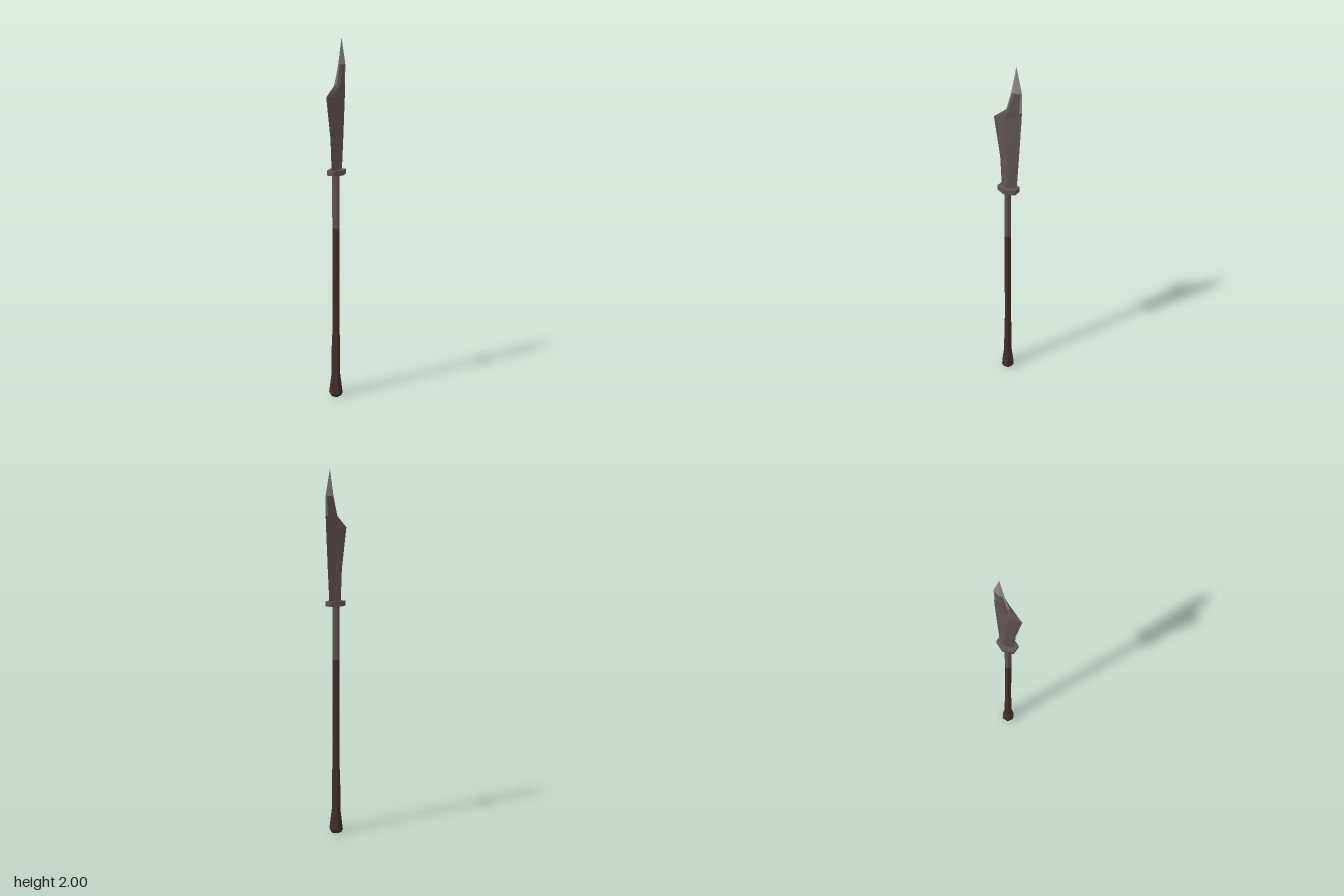
import * as THREE from 'three';

const flat = (name, color) => {
  const m = new THREE.MeshStandardMaterial({ color, flatShading: true });
  m.name = name;
  return m;
};

// Six-sided turned part from [radius, y] pairs, listed bottom to top
function hexTurned(name, profile, material) {
  const geo = new THREE.LatheGeometry(profile.map(([r, y]) => new THREE.Vector2(r, y)), 6);
  const mesh = new THREE.Mesh(geo, material);
  mesh.name = name;
  return mesh;
}

// Diamond-section blade; each row is [y, cutting edge z, ridge z, spine z, half thickness]
function bladeGeometry(rows, isBright) {
  const rings = rows.map(([y, f, r, b, h]) => {
    const side = [[0, f], [0.35 * h, f + (r - f) * 0.35], [h, r], [0.2 * h, b + (r - b) * 0.2], [0, b]];
    const mirrored = side.slice(1, 4).reverse().map(([x, z]) => [-x, z]);
    return [...side, ...mirrored].map(([x, z]) => [x, y, z]);
  });
  const groups = [[], []];
  for (let i = 0; i < rings.length - 1; i++) {
    for (let j = 0; j < 8; j++) {
      const k = (j + 1) % 8;
      const a = rings[i][j], b = rings[i][k], c = rings[i + 1][k], d = rings[i + 1][j];
      const out = groups[isBright(i, j < 4 ? j : 7 - j) ? 1 : 0];
      out.push(...a, ...b, ...c);
      if (i < rings.length - 2) out.push(...a, ...c, ...d);
    }
  }
  const geo = new THREE.BufferGeometry();
  geo.setAttribute('position', new THREE.Float32BufferAttribute(groups.flat(), 3));
  geo.addGroup(0, groups[0].length / 3, 0);
  geo.addGroup(groups[0].length / 3, groups[1].length / 3, 1);
  geo.computeVertexNormals();
  return geo;
}

export function createModel() {
  const group = new THREE.Group();
  const wood = flat('dark wood', 0x432f27);
  const iron = flat('dark iron', 0x5f5453);
  const steel = flat('bright steel', 0x8c8a89);

  // Handle: flared butt, thicker grip, long pole and iron sleeve
  group.add(
    hexTurned('butt', [[0, 0], [0.03, 0], [0.039, 0.02], [0.036, 0.04], [0.025, 0.13]], wood),
    hexTurned('grip', [[0.025, 0.13], [0.023, 0.36], [0.02, 0.365]], wood),
    hexTurned('pole', [[0.02, 0.36], [0.02, 0.98]], wood),
    hexTurned('sleeve', [[0.02, 0.98], [0.02, 1.28]], iron),
  );

  // Guard: elongated hexagonal plate
  const outline = [[0.045, 0.004], [0.022, 0.059], [-0.022, 0.059], [-0.045, 0.004], [-0.022, -0.05], [0.022, -0.05]];
  const guardShape = new THREE.Shape(outline.map(([x, y]) => new THREE.Vector2(x, y)));
  const guardGeo = new THREE.ExtrudeGeometry(guardShape, { depth: 0.027, bevelEnabled: false });
  guardGeo.rotateX(-Math.PI / 2);
  const guard = new THREE.Mesh(guardGeo, iron);
  guard.name = 'guard';
  guard.position.y = 1.275;
  group.add(guard);

  // Blade: bright tip and worn strips along both edges below it
  const rows = [
    [1.29, 0.037, -0.006, -0.053, 0.02],
    [1.47, 0.046, 0, -0.065, 0.02],
    [1.695, 0.082, 0.015, -0.078, 0.02],
    [1.755, 0.01, -0.012, -0.081, 0.02],
    [1.86, -0.02, -0.045, -0.081, 0.012],
    [2.0, -0.048, -0.048, -0.048, 0],
  ];
  const bright = (row, strip) => row === 4 || (row === 3 && (strip === 0 || strip === 3));
  const blade = new THREE.Mesh(bladeGeometry(rows, bright), [iron, steel]);
  blade.name = 'blade';
  group.add(blade);

  return group;
}
